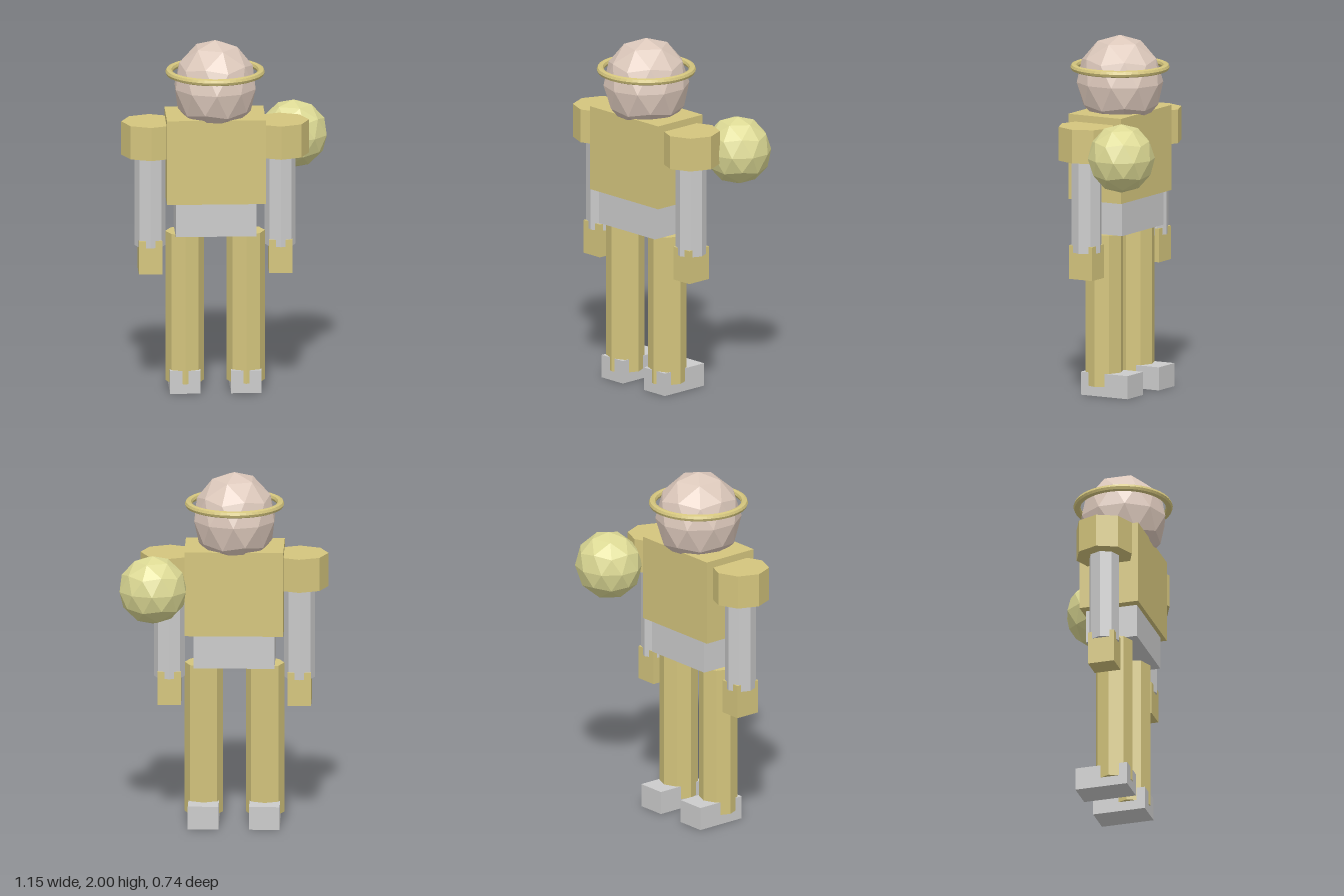
import * as THREE from 'three';

const mat = (color) => new THREE.MeshStandardMaterial({ color, flatShading: true });

export function createModel() {
  const group = new THREE.Group();
  const gold = mat(0xd4c57d), grey = mat(0xcccccc), skin = mat(0xdcc8bb), lime = mat(0xdcd994);
  const CX = -0.055, CZ = 0.09; // centre line of the figure

  const add = (name, geometry, material, x, y, z) => {
    const mesh = new THREE.Mesh(geometry, material);
    mesh.name = name;
    mesh.position.set(x, y, z);
    group.add(mesh);
    return mesh;
  };
  // box given by its bottom and top heights
  const box = (name, material, x, z, w, d, y0, y1) =>
    add(name, new THREE.BoxGeometry(w, y1 - y0, d), material, x, (y0 + y1) / 2, z);
  // upright eight-sided prism
  const prism = (name, material, x, r, y0, y1) =>
    add(name, new THREE.CylinderGeometry(r, r, y1 - y0, 8), material, x, (y0 + y1) / 2, CZ);
  // low-poly ball with a corner at the top
  const ball = (name, material, x, y, z, rx, ry, rz) => {
    const g = new THREE.IcosahedronGeometry(1, 1);
    g.rotateX(-Math.atan((1 + Math.sqrt(5)) / 2));
    g.rotateY(Math.PI / 2);
    g.scale(rx, ry, rz);
    return add(name, g, material, x, y, z);
  };

  // trunk
  box('torso', gold, CX, CZ, 0.55, 0.34, 1.1, 1.58);
  box('pelvis', grey, CX, CZ, 0.45, 0.295, 0.91, 1.1);

  // head with a ring around it
  ball('head', skin, CX, 1.735, CZ, 0.234, 0.265, 0.245);
  const ring = new THREE.TorusGeometry(0.256, 0.02, 8, 48);
  ring.rotateX(Math.PI / 2);
  add('headRing', ring, gold, CX, 1.82, CZ);

  // limbs, mirrored about the centre line
  for (const [side, s] of [['left', 1], ['right', -1]]) {
    const armX = CX + s * 0.362, legX = CX + s * 0.17;
    prism(side + 'Shoulder', gold, armX, 0.16, 1.35, 1.54);
    prism(side + 'Arm', grey, armX, 0.086, 0.83, 1.35);
    box(side + 'Hand', gold, armX, CZ, 0.13, 0.15, 0.68, 0.87);
    prism(side + 'Leg', gold, legX, 0.107, 0.055, 0.91);
    box(side + 'Foot', grey, legX, 0.04, 0.17, 0.3, 0, 0.13);
  }

  // ball behind the left shoulder
  ball('shoulderBall', lime, 0.392, 1.392, -0.185, 0.193, 0.193, 0.185);

  return group;
}
